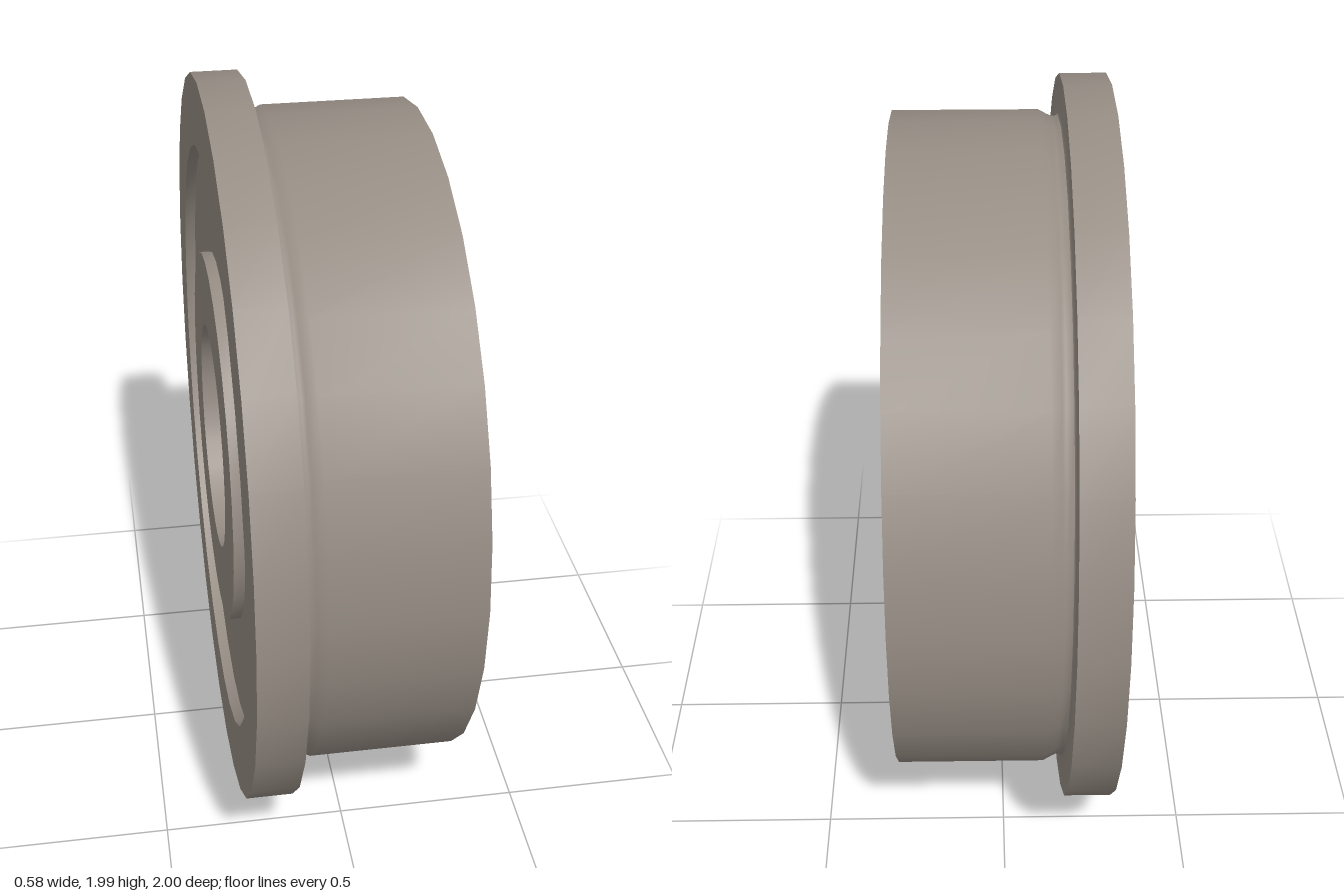
import * as THREE from 'three';
import { toCreasedNormals } from 'three/addons/utils/BufferGeometryUtils.js';

const SIDES = 30;
const HALF = 0.288; // half width along the axle
const RECESS = 0.03; // depth of the shields below the ring faces
const BORE = 0.313, INNER = 0.515, OUTER = 0.808, BODY = 0.905, FLANGE = 1;

export function createModel() {
  const group = new THREE.Group();
  group.name = 'flangedBearing';
  const steel = new THREE.MeshStandardMaterial({ color: 0x968d84 });
  steel.name = 'warm grey steel';

  // Revolves [radius, x] points around the x axis; outer walls run toward +x
  const revolve = (name, profile) => {
    const points = profile.map(([r, x]) => new THREE.Vector2(r, x));
    const geometry = new THREE.LatheGeometry(points, SIDES).rotateZ(-Math.PI / 2);
    const mesh = new THREE.Mesh(toCreasedNormals(geometry, 0.6), steel);
    mesh.name = name;
    group.add(mesh);
  };

  const shieldX = HALF - RECESS;

  // Outer ring with flange and rounded relief groove
  revolve('outerRing', [
    [OUTER, -shieldX], [OUTER, -HALF],
    [FLANGE, -HALF], [FLANGE, -0.162],
    [0.9, -0.162], [0.892, -0.158], [0.888, -0.15], [0.888, -0.14],
    [0.892, -0.13], [0.905, -0.105],
    [BODY, HALF], [OUTER, HALF], [OUTER, shieldX],
  ]);

  // Inner ring with the bore
  revolve('innerRing', [
    [INNER, shieldX], [INNER, HALF], [BORE, HALF],
    [BORE, -HALF], [INNER, -HALF], [INNER, -shieldX],
  ]);

  // Recessed shields on both faces
  revolve('leftShield', [[OUTER, shieldX], [INNER, shieldX]]);
  revolve('rightShield', [[INNER, -shieldX], [OUTER, -shieldX]]);

  // A flat of the flange rests on the ground
  group.children.forEach((mesh) => { mesh.position.y = FLANGE * Math.cos(Math.PI / SIDES); });
  return group;
}
